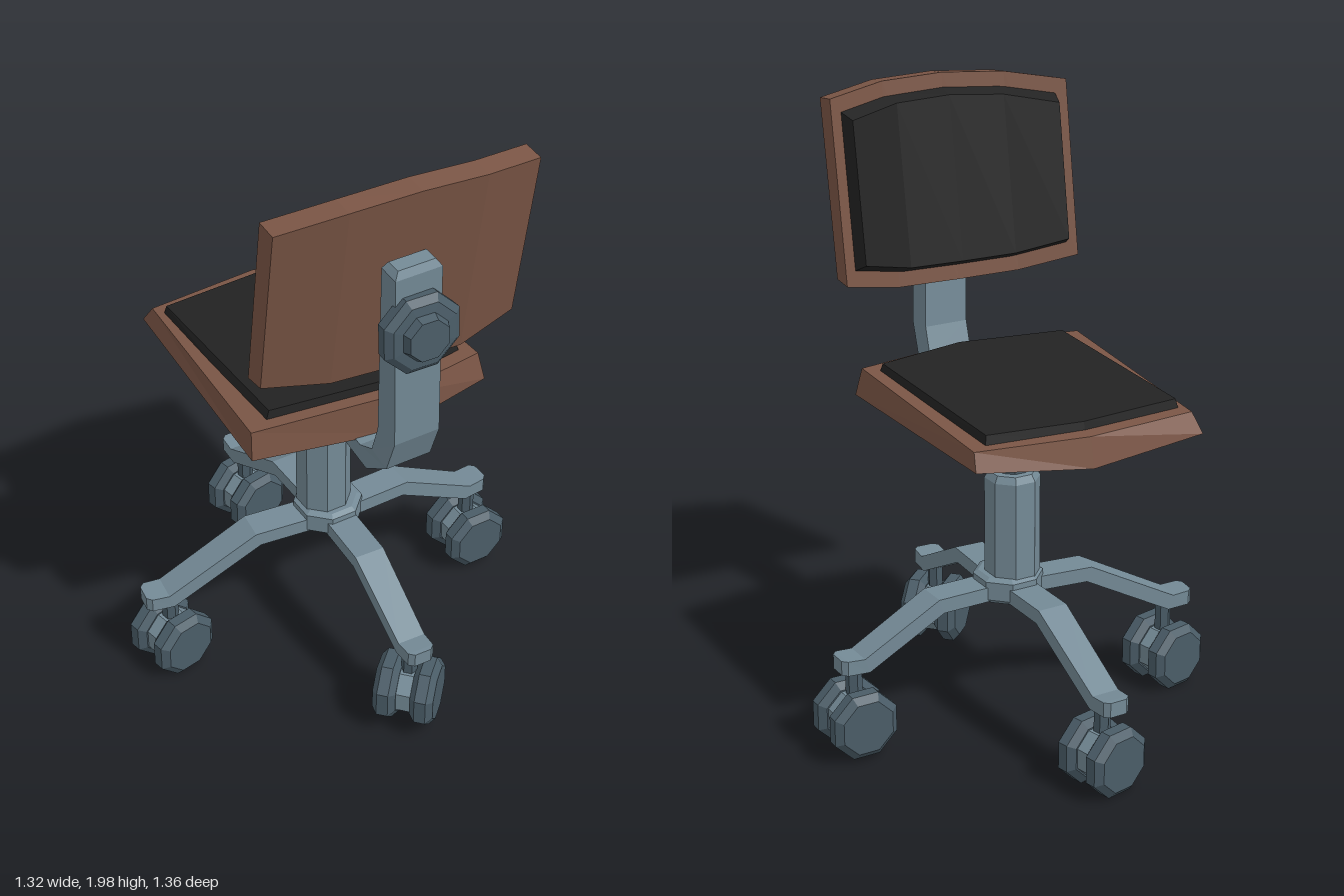
import * as THREE from 'three';

const paint = (color) => new THREE.MeshStandardMaterial({ color, flatShading: true });

// Closed skin over a row of rings (each counter-clockwise seen from the end)
function loft(rings) {
  const n = rings[0].length, index = [];
  const at = (i, j) => i * n + (j % n);
  for (let i = 0; i < rings.length - 1; i++) {
    for (let j = 0; j < n; j++) {
      const a = at(i, j), b = at(i, j + 1), c = at(i + 1, j + 1), d = at(i + 1, j);
      index.push(a, b, c, a, c, d);
    }
  }
  const last = rings.length - 1;
  for (let j = 1; j < n - 1; j++) {
    index.push(0, at(0, j + 1), at(0, j));
    index.push(at(last, 0), at(last, j), at(last, j + 1));
  }
  const g = new THREE.BufferGeometry();
  g.setAttribute('position', new THREE.Float32BufferAttribute(rings.flat(2), 3));
  g.setIndex(index);
  const flat = g.toNonIndexed();
  flat.computeVertexNormals();
  return flat;
}

// Eight-sided turned part
const lathe = (pts) => new THREE.LatheGeometry(pts.map(([r, y]) => new THREE.Vector2(r, y)), 8, Math.PI / 8);

export function createModel() {
  const model = new THREE.Group();
  const wood = paint(0x7a5545), fabric = paint(0x222222);
  const metal = paint(0x748a96), dark = paint(0x4a5c67);

  const add = (name, geometry, material, parent = model) => {
    const mesh = new THREE.Mesh(geometry, material);
    mesh.name = name;
    parent.add(mesh);
    return mesh;
  };

  // Seat: left, middle and right sections, the middle lower and longer
  add('seatPanel', loft([
    [[-0.435, 1.055, 0.295], [-0.385, 1.055, -0.495], [-0.37, 1.115, -0.455], [-0.43, 1.15, 0.285]],
    [[0, 1.022, 0.355], [0, 1.022, -0.5], [0, 1.115, -0.48], [0, 1.155, 0.35]],
    [[0.36, 1.06, 0.32], [0.36, 1.06, -0.445], [0.352, 1.115, -0.42], [0.345, 1.15, 0.3]],
  ]), wood);
  add('seatCushion', loft([
    [[-0.372, 1.12, 0.257], [-0.355, 1.09, -0.418], [-0.345, 1.145, -0.405], [-0.35, 1.175, 0.248]],
    [[0, 1.12, 0.312], [-0.01, 1.09, -0.437], [-0.01, 1.142, -0.425], [0, 1.178, 0.3]],
    [[0.31, 1.12, 0.262], [0.305, 1.09, -0.4], [0.295, 1.145, -0.388], [0.298, 1.172, 0.25]],
  ]), fabric);

  // Backrest: bowed panel leaning back; columns are x, bottom, top, rear z at the top
  const columns = [
    [-0.46, 1.4, 1.945, 0.49], [-0.26, 1.367, 1.98, 0.537], [-0.05, 1.362, 1.993, 0.558],
    [0.155, 1.363, 1.984, 0.568], [0.35, 1.4, 1.955, 0.535],
  ];
  const lean = (y) => 0.155 * (y - 1.97);
  add('backrestPanel', loft(columns.map(([x, b, t, z]) => [
    [x, b, z + lean(b)], [x, b - 0.008, z + lean(b) - 0.07],
    [x, t + 0.007, z + lean(t) - 0.07], [x, t, z + lean(t)],
  ])), wood);
  add('backrestCushion', loft(columns.map(([x, b, t, z]) => {
    const cx = -0.053 + (x + 0.055) * 0.91, fx = -0.053 + (x + 0.055) * 0.87;
    const b0 = b + 0.035, t0 = t - 0.035, b1 = b + 0.06, t1 = t - 0.055;
    return [
      [cx, b0, z + lean(b0) - 0.06], [fx, b1, z + lean(b1) - 0.112],
      [fx, t1, z + lean(t1) - 0.112], [cx, t0, z + lean(t0) - 0.06],
    ];
  })), fabric);

  // Bent support arm: centre x, outer (y, z), inner (y, z)
  add('backrestArm', loft([
    [0, 0.965, 0.02, 1.03, 0.02],
    [-0.04, 0.97, 0.405, 1.035, 0.37],
    [-0.05, 1.06, 0.53, 1.08, 0.45],
    [-0.053, 1.18, 0.575, 1.18, 0.485],
    [-0.08, 1.765, 0.6, 1.77, 0.53],
    [-0.08, 1.788, 0.588, 1.79, 0.54],
  ].map(([x, oy, oz, iy, iz], i) => {
    const w = i === 5 ? 0.06 : 0.075;
    return [[x - w, oy, oz], [x + w, oy, oz], [x + w, iy, iz], [x - w, iy, iz]];
  })), metal);

  // Adjustment knob behind the arm, its stem reaching the panel
  const knob = add('backrestKnob', lathe([
    [0, -0.11], [0.05, -0.11], [0.05, 0], [0.125, 0], [0.127, 0.035], [0.105, 0.052],
    [0.075, 0.055], [0.065, 0.08], [0, 0.08],
  ]), dark);
  knob.position.set(-0.08, 1.585, 0.59);
  knob.rotation.set(Math.PI / 2 - 0.05, 0, 0.05);

  // Column
  const block = add('seatMount', new THREE.BoxGeometry(0.215, 0.1, 0.2), dark);
  block.position.set(-0.01, 0.99, -0.017);
  block.rotation.y = -0.06;
  add('piston', lathe([[0, 0.8], [0.05, 0.8], [0.05, 0.96], [0, 0.96]]), dark).position.set(-0.012, 0, -0.015);
  add('column', lathe([[0, 0.45], [0.088, 0.45], [0.088, 0.83], [0.075, 0.852], [0, 0.852]]), metal)
    .position.set(-0.01, 0, -0.015);
  add('hub', lathe([[0, 0.43], [0.095, 0.43], [0.112, 0.445], [0.112, 0.505], [0.095, 0.515], [0, 0.515]]), metal)
    .position.set(0, 0, -0.005);

  // Legs with twin-wheel casters: leg end x, z, y; caster x, y, z, yaw
  const wheel = lathe([[0, -0.037], [0.09, -0.037], [0.114, -0.018], [0.114, 0.018], [0.09, 0.037], [0, 0.037]]);
  wheel.rotateX(Math.PI / 2);
  const axle = lathe([[0, -0.04], [0.085, -0.04], [0.085, 0.04], [0, 0.04]]);
  axle.rotateX(Math.PI / 2);
  [
    ['left', 0.605, -0.01, 0.33, 0.548, 0.138, -0.003, 0],
    ['right', -0.64, -0.078, 0.31, -0.55, 0.122, -0.075, 0.2],
    ['rear', -0.03, 0.615, 0.325, -0.035, 0.148, 0.55, 0.75],
    ['front', -0.005, -0.645, 0.31, 0, 0.124, -0.565, 0.2],
  ].forEach(([side, ex, ez, ey, cx, cy, cz, yaw]) => {
    const reach = Math.hypot(ex, ez);
    const leg = add(side + 'Leg', loft([
      [0.02, 0.462, 0.05], [0.265, 0.462, 0.05], [reach - 0.08, ey - 0.005, 0.046],
      [reach - 0.015, ey, 0.044], [reach, ey, 0.028],
    ].map(([z, y, w], i) => {
      const h = 0.024, s = i === 1 || i === 2 ? 0.008 : 0;
      return [[-w, y - h, z - s], [w, y - h, z - s], [w, y + h, z + s], [-w, y + h, z + s]];
    })), metal);
    leg.rotation.y = Math.atan2(ex, ez);

    const caster = new THREE.Group();
    caster.name = side + 'Caster';
    caster.position.set(cx, cy, cz);
    caster.rotation.y = yaw;
    model.add(caster);
    for (const s of [-1, 1]) add('wheel', wheel, dark, caster).position.z = s * 0.06;
    add('wheelHub', axle, metal, caster);
    add('stem', new THREE.CylinderGeometry(0.026, 0.026, 0.14, 6), dark, caster).position.y = 0.12;
  });

  return model;
}
